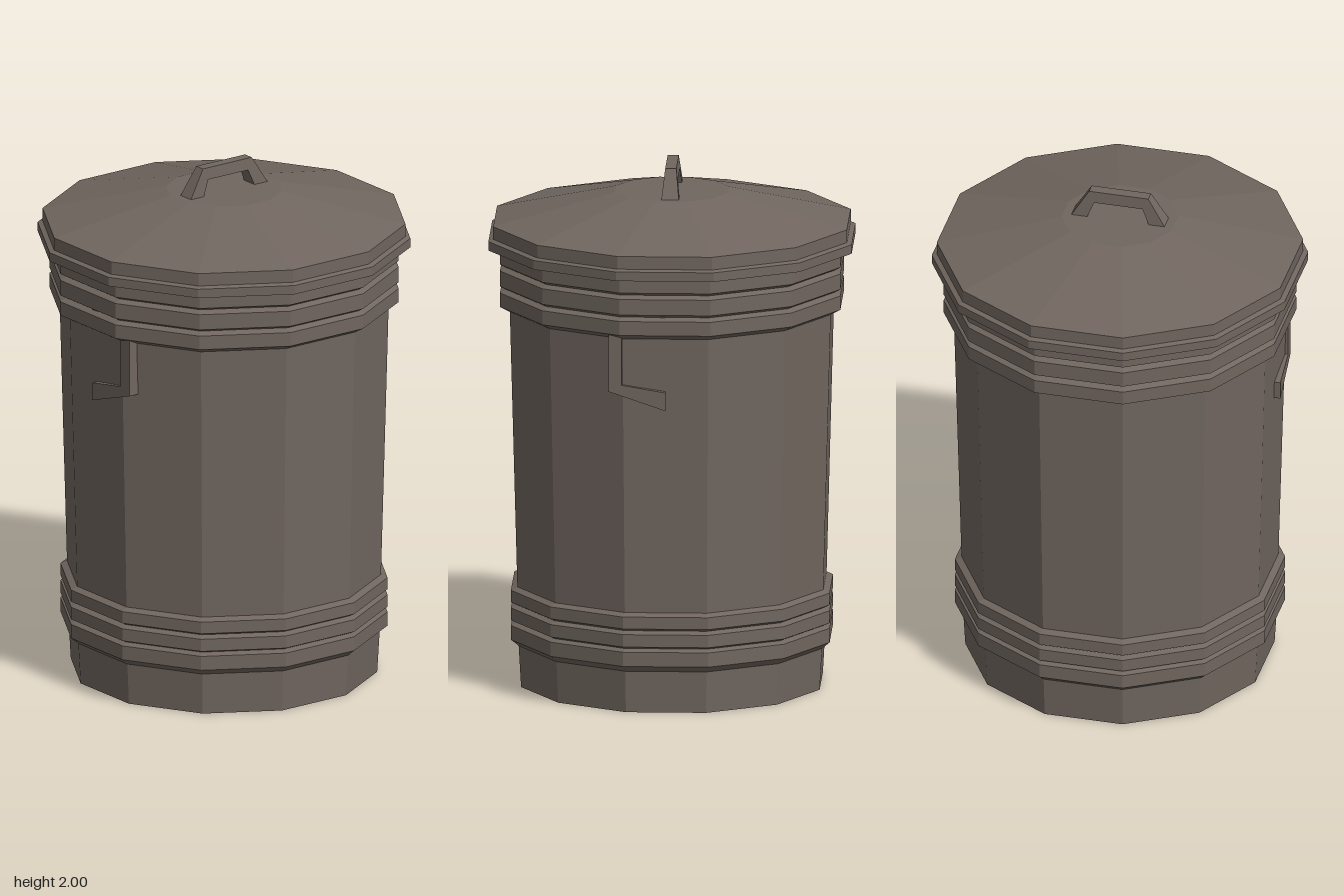
import * as THREE from 'three';

const SIDES = 12;
const metal = new THREE.MeshStandardMaterial({ color: 0x70665f });
metal.name = 'dull brown-grey metal';

// Separate the faces so that every facet shades flat.
function faceted(geometry) {
  const g = geometry.index ? geometry.toNonIndexed() : geometry;
  g.computeVertexNormals();
  return g;
}

// Twelve-sided turned part; profile distances run from the axis to the flats.
function turned(name, profile) {
  const k = 1 / Math.cos(Math.PI / SIDES);
  const points = profile.map(([r, y]) => new THREE.Vector2(r * k, y));
  const mesh = new THREE.Mesh(
    faceted(new THREE.LatheGeometry(points, SIDES, Math.PI / SIDES)), metal);
  mesh.name = name;
  return mesh;
}

// Three stacked ribs: each is [bottom, top], joined by shallow grooves.
function ribs(radius, groove, spans) {
  const out = [];
  spans.forEach(([bottom, top], i) => {
    if (i) out.push([groove, (spans[i - 1][1] + bottom) / 2]);
    out.push([radius, bottom], [radius, top]);
  });
  return out;
}

// Bracket handle standing on y = 0, thinner toward its grip.
function handle(name, { foot, footIn, grip, gripIn, height, heightIn, baseHalf, topHalf }) {
  const shape = new THREE.Shape([
    [-foot, 0], [-footIn, 0], [-gripIn, heightIn], [gripIn, heightIn],
    [footIn, 0], [foot, 0], [grip, height], [-grip, height],
  ].map(([x, y]) => new THREE.Vector2(x, y)));
  const geometry = new THREE.ExtrudeGeometry(shape, { depth: 1, bevelEnabled: false });
  const p = geometry.attributes.position;
  for (let i = 0; i < p.count; i++) {
    const half = THREE.MathUtils.lerp(baseHalf, topHalf, p.getY(i) / height);
    p.setZ(i, (p.getZ(i) * 2 - 1) * half);
  }
  const mesh = new THREE.Mesh(faceted(geometry), metal);
  mesh.name = name;
  return mesh;
}

export function createModel() {
  const model = new THREE.Group();
  model.name = 'dustbin';

  // Tapered body with ribbed bands near the bottom and the top
  model.add(turned('body', [
    [0, 0], [0.563, 0], [0.572, 0.16],
    ...ribs(0.601, 0.58, [[0.185, 0.24], [0.26, 0.308], [0.33, 0.376]]),
    [0.577, 0.388], [0.605, 1.452],
    ...ribs(0.642, 0.62, [[1.473, 1.527], [1.552, 1.612], [1.637, 1.688]]),
    [0.635, 1.7],
  ]));

  // Lid with a stepped rim and a shallow cone
  model.add(turned('lid', [
    [0, 1.693], [0.685, 1.693], [0.685, 1.728], [0.667, 1.735],
    [0.667, 1.784], [0.213, 1.894], [0, 1.894],
  ]));

  // Grip on top of the lid
  const lidHandle = handle('lidHandle', {
    foot: 0.182, footIn: 0.12, grip: 0.115, gripIn: 0.094,
    height: 0.108, heightIn: 0.063, baseHalf: 0.033, topHalf: 0.021,
  });
  lidHandle.position.y = 1.892;
  model.add(lidHandle);

  // Carrying handles on both sides
  for (const side of [1, -1]) {
    const h = handle(side > 0 ? 'leftHandle' : 'rightHandle', {
      foot: 0.2, footIn: 0.13, grip: 0.13, gripIn: 0.104,
      height: 0.215, heightIn: 0.165, baseHalf: 0.038, topHalf: 0.024,
    });
    h.rotation.set(Math.PI / 2, 0, -side * Math.PI / 2, 'ZYX');
    // Lay the bracket flat so that its grip points outward
    h.rotation.set(0, 0, 0);
    h.quaternion.setFromRotationMatrix(new THREE.Matrix4().makeBasis(
      new THREE.Vector3(0, 0, -side), new THREE.Vector3(side, 0, 0), new THREE.Vector3(0, 1, 0)));
    h.position.set(side * 0.585, 1.378, 0);
    model.add(h);
  }
  return model;
}
